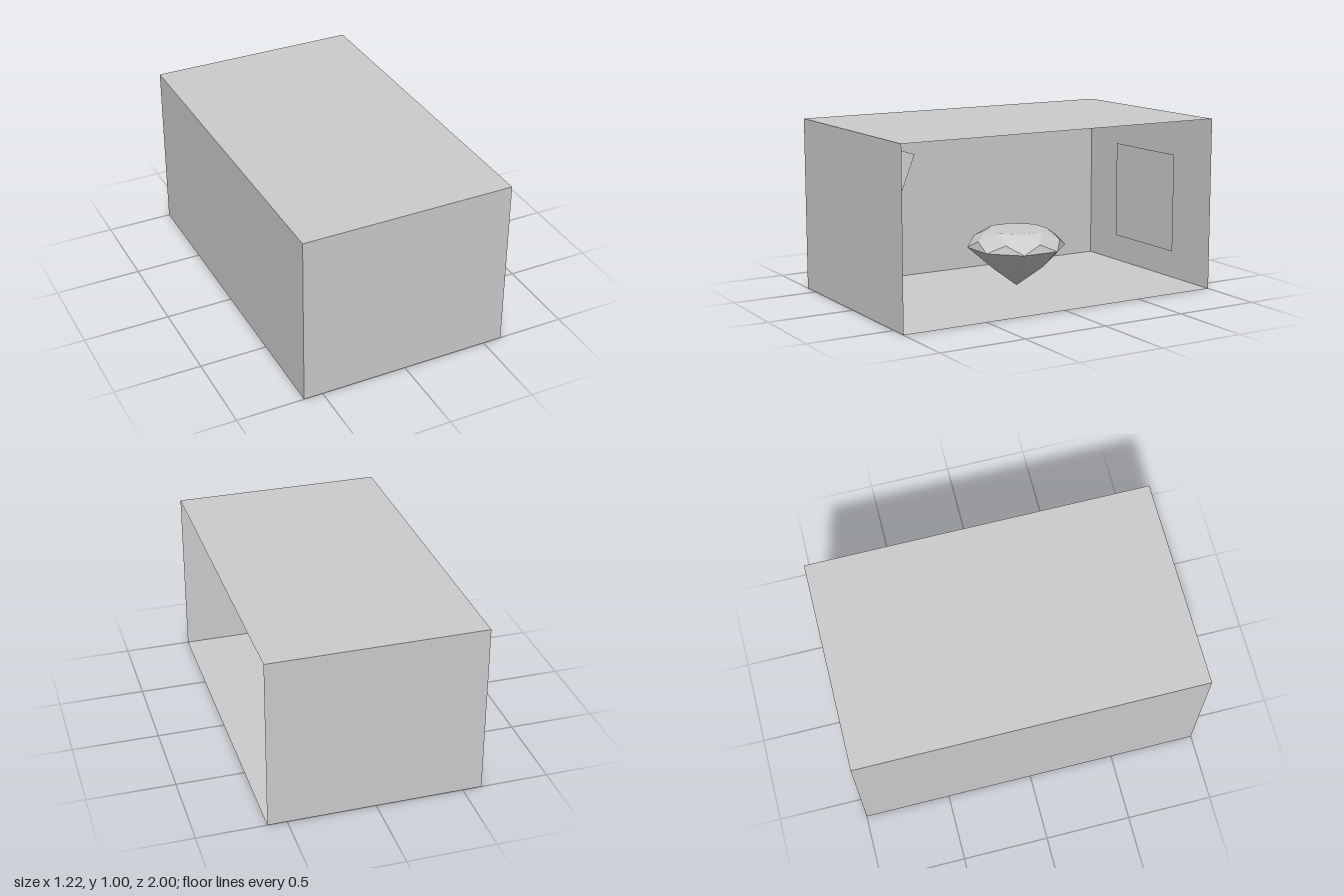
import * as THREE from 'three';
import { ConvexGeometry } from 'three/addons/geometries/ConvexGeometry.js';

const W = 1.22, H = 1, D = 2;
const sheetMaterial = new THREE.MeshStandardMaterial({ color: 0xcccccc, side: THREE.DoubleSide });
const gemMaterial = new THREE.MeshStandardMaterial({ color: 0xcccccc, flatShading: true });

// Flat sheet, by default facing +z
function sheet(name, width, height, position, rotation = [0, 0, 0]) {
  const mesh = new THREE.Mesh(new THREE.PlaneGeometry(width, height), sheetMaterial);
  mesh.name = name;
  mesh.position.set(...position);
  mesh.rotation.set(...rotation);
  return mesh;
}

// Eight-sided brilliant cut: rings of [radius, height, half-step turn], plus the tip
function createGem() {
  const rings = [
    [0.177, 0.365, 0.5], // table
    [0.256, 0.315, 0],   // crown
    [0.288, 0.265, 0.5], // girdle
    [0.158, 0.148, 0],   // pavilion
  ];
  const points = [new THREE.Vector3(0, 0.03, 0)];
  for (const [r, y, turn] of rings) {
    for (let i = 0; i < 8; i++) {
      const a = (i + turn) * Math.PI / 4;
      points.push(new THREE.Vector3(r * Math.cos(a), y, r * Math.sin(a)));
    }
  }
  const gem = new THREE.Mesh(new ConvexGeometry(points), gemMaterial);
  gem.name = 'gem';
  gem.position.set(0.063, 0, -0.02);
  return gem;
}

export function createModel() {
  const model = new THREE.Group();
  model.name = 'gemDisplayBox';

  // Box of thin walls, open on the +x side
  const q = Math.PI / 2;
  const box = new THREE.Group();
  box.name = 'openBox';
  box.add(
    sheet('floor', W, D, [0, 0, 0], [-q, 0, 0]),
    sheet('ceiling', W, D, [0, H, 0], [-q, 0, 0]),
    sheet('frontWall', W, H, [0, H / 2, D / 2]),
    sheet('backWall', W, H, [0, H / 2, -D / 2], [0, Math.PI, 0]),
    sheet('leftoverSideWall', D, H, [-W / 2, H / 2, 0], [0, -q, 0]),
  );
  box.getObjectByName('leftoverSideWall').name = 'sideWall';
  model.add(box);

  // Square light panels: upright ones by the end walls, one leaning over the gem
  const S = 0.587, px = -0.02;
  const lights = new THREE.Group();
  lights.name = 'lightPanels';
  lights.add(
    sheet('backPanel', S, S, [px, 0.455, -0.99]),
    sheet('frontPanelOuter', S, S, [px, 0.455, 0.995], [0, Math.PI, 0]),
    sheet('frontPanelInner', S, S, [px, 0.455, 0.97], [0, Math.PI, 0]),
    sheet('leaningPanel', S, S, [px, 0.612, 0.857], [-0.375, 0, 0]),
  );
  model.add(lights);

  model.add(createGem());
  return model;
}
